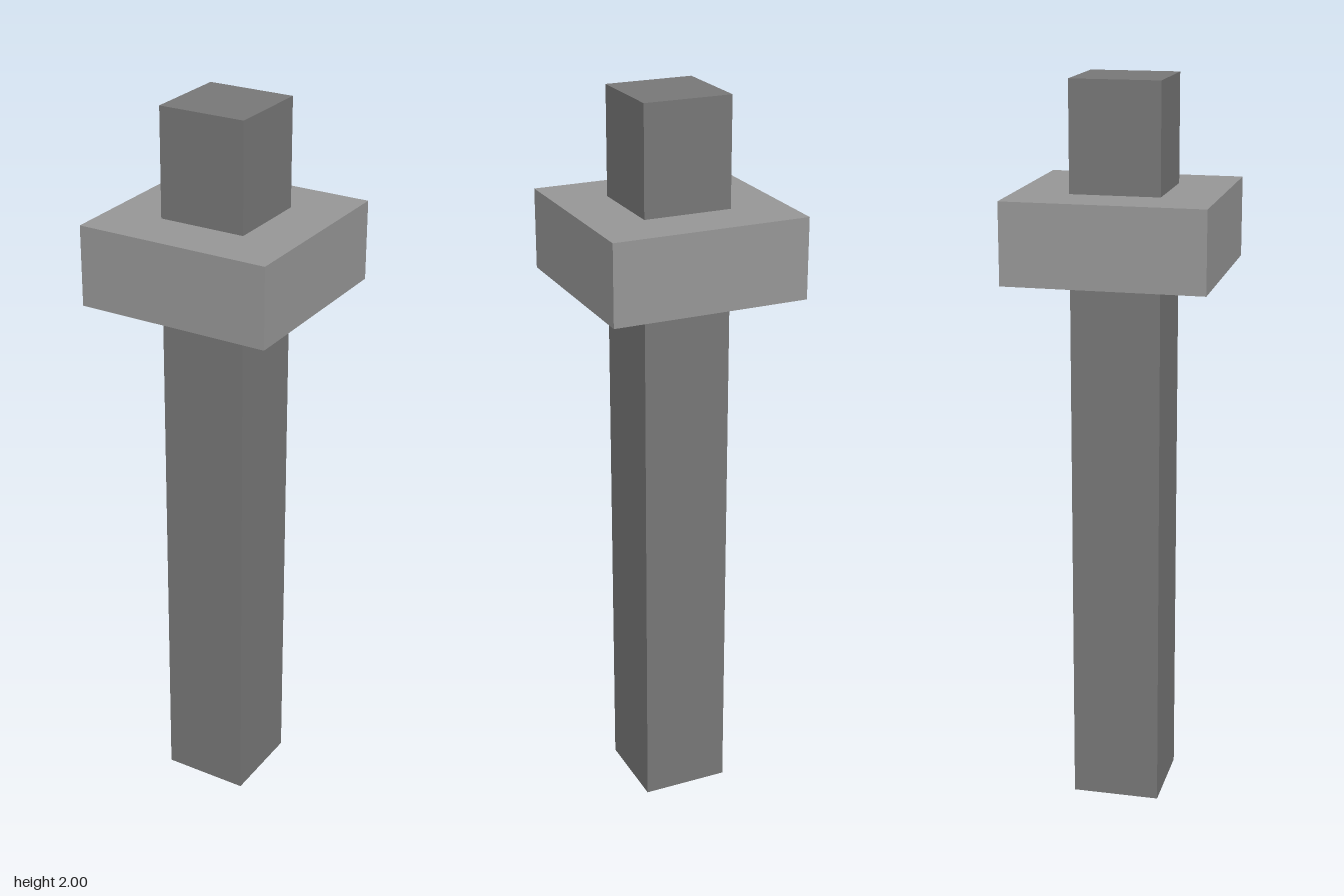
import * as THREE from 'three';

export function createModel() {
  const group = new THREE.Group();

  const postGrey = new THREE.MeshStandardMaterial({ color: 0x777777, side: THREE.DoubleSide });
  postGrey.name = 'darkGrey';
  const collarGrey = new THREE.MeshStandardMaterial({ color: 0x979797 });
  collarGrey.name = 'lightGrey';

  // Square post, open underneath: drop the box's downward face (indices 18 to 23)
  const postGeometry = new THREE.BoxGeometry(0.24, 2, 0.24);
  const index = Array.from(postGeometry.index.array);
  index.splice(18, 6);
  postGeometry.setIndex(index);
  postGeometry.clearGroups();
  const post = new THREE.Mesh(postGeometry, postGrey);
  post.name = 'post';
  post.position.y = 1;
  group.add(post);

  // Wide square collar near the top
  const collar = new THREE.Mesh(new THREE.BoxGeometry(0.534, 0.217, 0.534), collarGrey);
  collar.name = 'collar';
  collar.position.y = 1.6;
  group.add(collar);

  return group;
}
